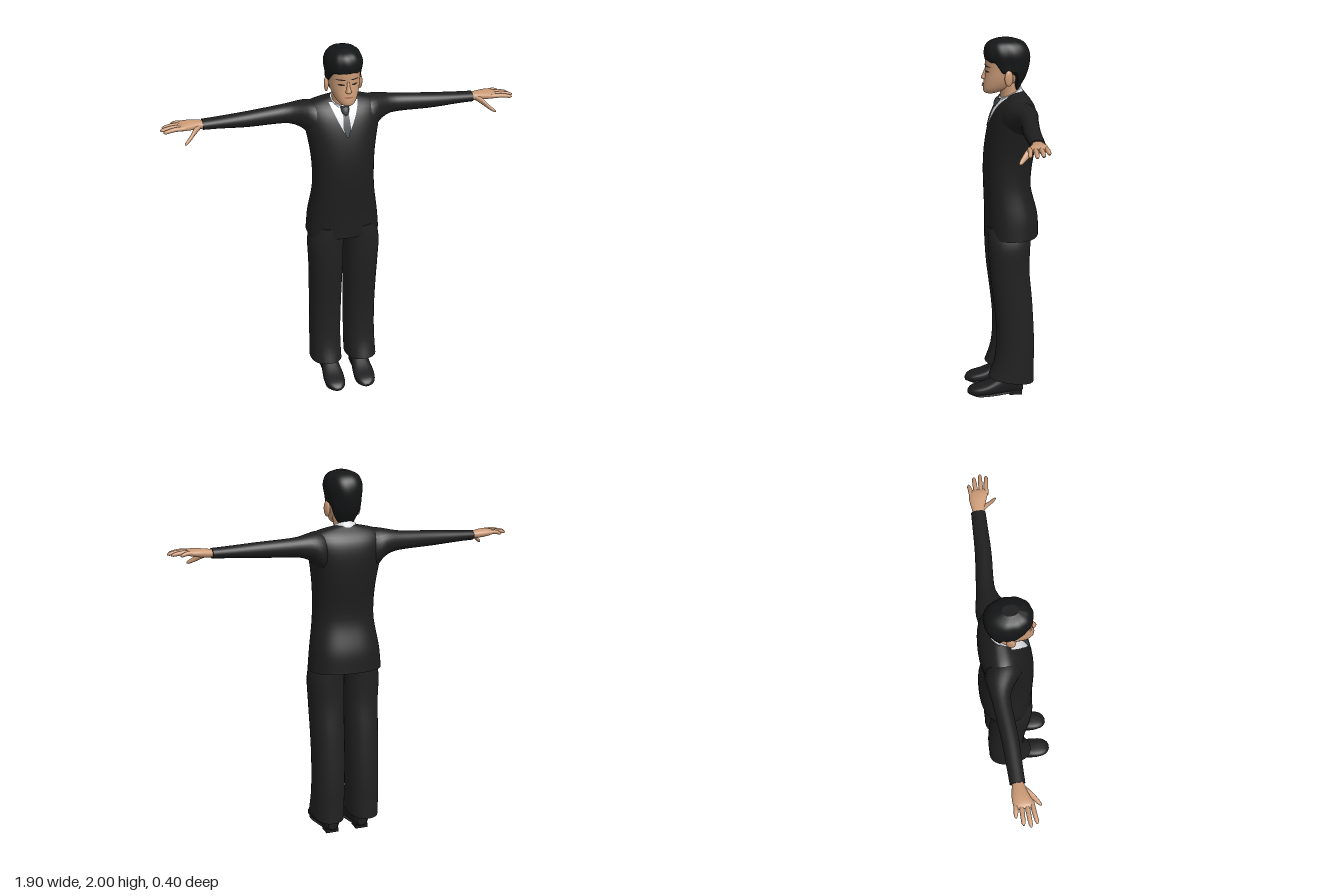
import * as THREE from 'three';

const mat = (name, color, side = THREE.FrontSide) => {
  const m = new THREE.MeshStandardMaterial({ color, side });
  m.name = name;
  return m;
};

// Smoothly interpolates a table of cross-sections [t, a0, a1, b0, b1] at t.
function at(rows, t) {
  let i = 0;
  while (i < rows.length - 2 && t > rows[i + 1][0]) i++;
  const p = rows[i], q = rows[i + 1], h = q[0] - p[0];
  const before = rows[Math.max(i - 1, 0)], after = rows[Math.min(i + 2, rows.length - 1)];
  const u = THREE.MathUtils.clamp((t - p[0]) / h, 0, 1), u2 = u * u, u3 = u2 * u;
  return p.map((v, k) => {
    const m0 = (q[k] - before[k]) / (q[0] - before[0]) * h;
    const m1 = (after[k] - v) / (after[0] - p[0]) * h;
    return (2 * u3 - 3 * u2 + 1) * v + (u3 - 2 * u2 + u) * m0 + (3 * u2 - 2 * u3) * q[k] + (u3 - u2) * m1;
  });
}

const sgnPow = (v, e) => Math.sign(v) * Math.abs(v) ** e;

function build(pos, idx) {
  const g = new THREE.BufferGeometry();
  g.setAttribute('position', new THREE.Float32BufferAttribute(pos, 3));
  g.setIndex(idx);
  g.computeVertexNormals();
  return g;
}

// Closed skin over cross-sections. Axis y: a=z, b=x. Axis x: a=y, b=z. Axis z: a=x, b=y.
function loft(axis, rows, { n = 2.3, steps = 20, seg = 28, start = null, warp = null } = {}) {
  const pos = [], idx = [], t0 = rows[0][0], t1 = rows[rows.length - 1][0];
  const place = (t, a, b) => {
    const p = axis === 'y' ? [b, t, a] : axis === 'x' ? [t, a, b] : [a, b, t];
    return warp ? warp(p) : p;
  };
  for (let i = 0; i <= steps; i++) for (let j = 0; j < seg; j++) {
    const th = j / seg * Math.PI * 2, s = start ? start(th) : t0;
    const t = s + (t1 - s) * (1 - Math.cos(Math.PI * i / steps)) / 2;
    const [, a0, a1, b0, b1] = at(rows, t);
    pos.push(...place(t, (a0 + a1) / 2 + (a1 - a0) / 2 * sgnPow(Math.cos(th), 2 / n),
      (b0 + b1) / 2 + (b1 - b0) / 2 * sgnPow(Math.sin(th), 2 / n)));
  }
  for (let i = 0; i < steps; i++) for (let j = 0; j < seg; j++) {
    const k = (j + 1) % seg, a = i * seg + j, b = i * seg + k, c = b + seg, d = a + seg;
    idx.push(a, b, c, a, c, d);
  }
  // end caps with their own vertices, so the rims stay sharp
  for (const end of [0, steps]) {
    const base = pos.length / 3, r = rows[end ? rows.length - 1 : 0];
    pos.push(...pos.slice(end * seg * 3, (end + 1) * seg * 3));
    pos.push(...place(r[0], (r[1] + r[2]) / 2, (r[3] + r[4]) / 2));
    for (let j = 0; j < seg; j++) {
      const a = base + j, b = base + (j + 1) % seg;
      idx.push(base + seg, ...(end ? [a, b] : [b, a]));
    }
  }
  return build(pos, idx);
}

// Thin patch lying on the front of a vertical loft.
function patch(rows, n, y0, y1, xc, half, off) {
  const pos = [], idx = [], R = 12, C = 10;
  for (let i = 0; i <= R; i++) for (let j = 0; j <= C; j++) {
    const y = y0 + (y1 - y0) * i / R, x = xc + half(i / R) * (2 * j / C - 1);
    const [, a0, a1, b0, b1] = at(rows, y), u = Math.min(Math.abs((x - (b0 + b1) / 2) / ((b1 - b0) / 2)), 1);
    pos.push(x, y, (a0 + a1) / 2 + (a1 - a0) / 2 * (1 - u ** n) ** (1 / n) + off);
    if (i < R && j < C) {
      const a = i * (C + 1) + j, d = a + C + 1;
      idx.push(a, a + 1, d + 1, a, d + 1, d);
    }
  }
  return build(pos, idx);
}

// Copy reflected in x, with corner order restored.
function mirrored(geo) {
  const g = geo.clone(), p = g.attributes.position, ix = g.index.array;
  for (let i = 0; i < p.count; i++) p.setX(i, -p.getX(i));
  for (let i = 0; i < ix.length; i += 3) [ix[i + 1], ix[i + 2]] = [ix[i + 2], ix[i + 1]];
  g.computeVertexNormals();
  return g;
}

export function createModel() {
  const model = new THREE.Group();
  const suit = mat('suit', 0x1e1e1f), trouser = mat('trousers', 0x212122), hairM = mat('hair', 0x151617);
  const leather = mat('shoe leather', 0x1c1c1e), soleM = mat('sole', 0x38383a), skin = mat('skin', 0xcb9b77);
  const white = mat('shirt', 0xe2e4e8, THREE.DoubleSide), tieM = mat('tie', 0x3a3e42, THREE.DoubleSide);
  const dark = mat('eyes and brows', 0x33241e, THREE.DoubleSide), lip = mat('lips', 0xa96e59, THREE.DoubleSide);
  const add = (name, geo, m) => {
    const mesh = new THREE.Mesh(geo, m);
    mesh.name = name;
    model.add(mesh);
  };
  const pair = (name, geo, m) => {
    add('left' + name, geo, m);
    add('right' + name, mirrored(geo), m);
  };
  const sym = rows => rows.map(([y, z0, z1, w]) => [y, z0, z1, -w, w]);

  // jacket
  const torso = sym([[0.94, -0.198, 0.09, 0.2], [1.05, -0.193, 0.09, 0.19], [1.2, -0.157, 0.095, 0.168],
    [1.3, -0.16, 0.097, 0.165], [1.4, -0.175, 0.092, 0.17], [1.5, -0.185, 0.076, 0.185], [1.58, -0.186, 0.055, 0.2],
    [1.64, -0.175, 0.03, 0.2], [1.68, -0.15, 0, 0.185], [1.7, -0.13, -0.025, 0.15], [1.72, -0.11, -0.05, 0.06]]);
  add('jacket', loft('y', torso, { n: 2.4, steps: 36, seg: 44 }), suit);
  pair('Sleeve', loft('x', [[0.1, 1.46, 1.69, -0.15, 0.01], [0.16, 1.49, 1.697, -0.172, 0.015],
    [0.2, 1.54, 1.693, -0.17, -0.012], [0.25, 1.566, 1.683, -0.162, -0.045], [0.3, 1.575, 1.675, -0.155, -0.06],
    [0.5, 1.582, 1.662, -0.135, -0.05], [0.65, 1.592, 1.652, -0.128, -0.05], [0.73, 1.595, 1.648, -0.125, -0.05]],
  { n: 2.1, steps: 28 }), suit);

  // shirt front, collar and tie
  add('shirtFront', patch(torso, 2.4, 1.54, 1.7, 0, u => 0.078 * u ** 0.8, 0.004), white);
  add('shirtCollar', loft('y', sym([[1.64, -0.13, 0.03, 0.085], [1.68, -0.118, 0.02, 0.073], [1.715, -0.106, 0.01, 0.062]]),
    { n: 2, warp: ([x, y, z]) => [x, y - 0.5 * (z + 0.05), z] }), white);
  add('tie', patch(torso, 2.4, 1.535, 1.665, 0, u => 0.006 + 0.017 * Math.min(u * 3, 1) - 0.009 * u, 0.009), tieM);
  add('tieKnot', loft('y', sym([[1.64, 0, 0.04, 0.013], [1.66, 0, 0.04, 0.02], [1.685, -0.01, 0.028, 0.023]]),
    { steps: 8, seg: 14 }), tieM);

  // trousers with hems that rise at the front
  pair('TrouserLeg', loft('y', [[0.1, -0.17, 0.083, 0.014, 0.19], [0.2, -0.17, 0.052, 0.014, 0.188],
    [0.3, -0.172, 0.04, 0.013, 0.187], [0.45, -0.166, 0.042, 0.01, 0.187], [0.6, -0.156, 0.058, 0.008, 0.189],
    [0.75, -0.142, 0.075, 0.005, 0.193], [0.9, -0.146, 0.083, 0.003, 0.196], [1, -0.15, 0.083, 0.002, 0.165]],
  { n: 2.3, steps: 26, warp: ([x, y, z]) => [x, y + 0.16 * (z + 0.045) * Math.max(0, 1 - (y - 0.1) / 0.3), z] }), trouser);

  // shoes
  pair('Shoe', loft('z', [[-0.11, 0.06, 0.115, 0.02, 0.08], [-0.095, 0.045, 0.13, 0.008, 0.13],
    [-0.02, 0.043, 0.133, 0.008, 0.135], [0.03, 0.037, 0.14, 0.007, 0.105], [0.1, 0.03, 0.147, 0.006, 0.07],
    [0.16, 0.036, 0.14, 0.006, 0.054], [0.188, 0.052, 0.122, 0.007, 0.042], [0.2, 0.07, 0.1, 0.012, 0.026]], { n: 2.7 }), leather);
  pair('Sole', loft('z', [[-0.035, 0.055, 0.12, 0.004, 0.02], [0.03, 0.045, 0.13, 0, 0.016], [0.1, 0.036, 0.14, 0, 0.014],
    [0.15, 0.042, 0.134, 0, 0.014], [0.185, 0.07, 0.105, 0.004, 0.014]], { n: 4 }), soleM);
  pair('Heel', new THREE.BoxGeometry(0.07, 0.024, 0.07).translate(0.088, 0.012, -0.068), leather);

  // hands
  pair('Palm', loft('x', [[0.71, 1.602, 1.64, -0.112, -0.06], [0.75, 1.603, 1.645, -0.118, -0.053],
    [0.8, 1.607, 1.65, -0.125, -0.036], [0.84, 1.614, 1.648, -0.122, -0.022], [0.858, 1.622, 1.64, -0.112, -0.03]]), skin);
  const fingers = [['Little', -0.11, -0.117, 0.897], ['Ring', -0.085, -0.086, 0.937], ['Middle', -0.059, -0.053, 0.95],
    ['Index', -0.034, -0.022, 0.937]];
  for (const [name, z0, z1, tip] of fingers) {
    const row = (x, y, z, r) => [x, y - r, y + r, z - r, z + r];
    pair(name + 'Finger', loft('x', [row(0.825, 1.632, z0, 0.012), row((0.83 + tip) / 2, 1.633, (z0 + z1) / 2, 0.0115),
      row(tip - 0.01, 1.626, z1, 0.009), row(tip, 1.624, z1, 0.003)], { n: 2, steps: 10, seg: 12 }), skin);
  }
  pair('Thumb', loft('x', [[0.745, 1.605, 1.635, -0.085, -0.052], [0.775, 1.588, 1.624, -0.062, -0.024],
    [0.805, 1.568, 1.594, -0.026, 0.002], [0.828, 1.557, 1.575, -0.004, 0.016], [0.836, 1.559, 1.566, 0.008, 0.016]],
  { n: 2, steps: 12, seg: 14 }), skin);

  // head and neck
  const head = sym([[1.712, 0.035, 0.078, 0.018], [1.72, 0.01, 0.092, 0.034], [1.74, -0.04, 0.096, 0.053],
    [1.77, -0.085, 0.093, 0.068], [1.8, -0.11, 0.088, 0.077], [1.84, -0.125, 0.083, 0.082], [1.9, -0.13, 0.083, 0.083],
    [1.95, -0.11, 0.06, 0.068], [1.98, -0.07, 0.02, 0.03]]);
  add('head', loft('y', head, { n: 2.2, steps: 32, seg: 36 }), skin);
  add('neck', loft('y', sym([[1.64, -0.1, 0.002, 0.056], [1.72, -0.095, 0.008, 0.055], [1.79, -0.09, 0.03, 0.06]]), { n: 2 }), skin);
  add('nose', loft('y', sym([[1.783, 0.06, 0.088, 0.008], [1.792, 0.06, 0.106, 0.017], [1.81, 0.06, 0.1, 0.011],
    [1.848, 0.06, 0.085, 0.007]]), { n: 2, steps: 12, seg: 16 }), skin);
  pair('Ear', new THREE.SphereGeometry(1, 16, 12).scale(0.012, 0.042, 0.024).rotateY(0.3).translate(0.088, 1.803, -0.03), skin);

  // face details
  const oval = w => u => w * Math.sqrt(Math.max(0, 1 - (2 * u - 1) ** 2));
  pair('Eye', patch(head, 2.2, 1.827, 1.837, 0.035, oval(0.017), 0.003), dark);
  pair('Brow', patch(head, 2.2, 1.855, 1.862, 0.037, oval(0.023), 0.003), dark);
  add('mouth', patch(head, 2.2, 1.76, 1.771, 0, oval(0.024), 0.003), lip);

  // hair, with a hairline that dips at the sideburns and nape
  const hairline = th => {
    const c = Math.cos(th), s = THREE.MathUtils.smoothstep;
    return 1.73 + 0.108 * s(c, -0.65, -0.3) + 0.055 * s(c, 0.3, 0.7) + 0.004 * Math.sin(9 * th);
  };
  const hair = sym([[1.72, -0.085, 0, 0.05], [1.76, -0.108, 0.04, 0.07], [1.8, -0.13, 0.06, 0.085], [1.87, -0.148, 0.08, 0.093],
    [1.92, -0.15, 0.09, 0.099], [1.96, -0.135, 0.083, 0.089], [1.985, -0.105, 0.06, 0.068], [2, -0.06, 0.02, 0.03]]);
  add('hair', loft('y', hair, { n: 2.2, steps: 26, seg: 64, start: hairline, warp: ([x, y, z]) => {
    const k = 1 + 0.012 * Math.sin(9 * Math.atan2(x, z) + 30 * y);
    return [x * k, y, (z + 0.03) * k - 0.03];
  } }), hairM);
  return model;
}
